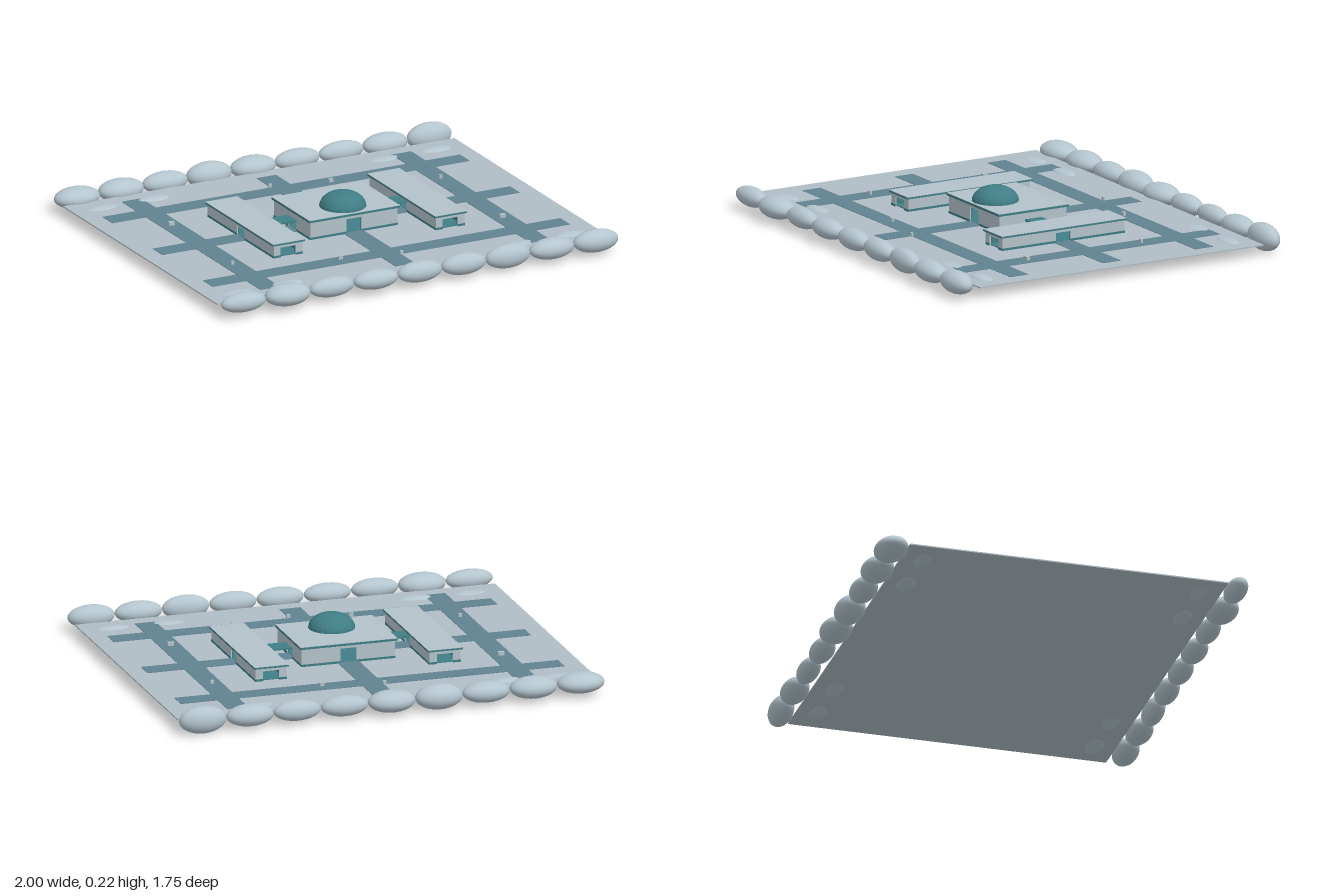
import * as THREE from 'three';

const mat = (name, color, opts = {}) => Object.assign(new THREE.MeshStandardMaterial({ color, ...opts }), { name });

export function createModel() {
  const root = new THREE.Group();
  root.name = 'gardenCompound';
  const lawn = mat('pale lawn', 0xafbdc4);
  const stone = mat('pale stone', 0xb2c2c9);
  const leaf = mat('pale leaf', 0xb4c5ce);
  const paving = mat('slate paving', 0x618291);
  const teal = mat('teal', 0x3f7d85);
  const tealFacet = mat('teal dome', 0x3f7d85, { flatShading: true });

  const GROUND = 0.056;
  const add = (parent, name, geo, material, x = 0, y = 0, z = 0) => {
    const m = new THREE.Mesh(geo, material);
    m.name = name;
    m.position.set(x, y, z);
    parent.add(m);
    return m;
  };
  const box = (parent, name, w, h, d, material, x, y, z) =>
    add(parent, name, new THREE.BoxGeometry(w, h, d), material, x, y + h / 2, z);

  // Ground slab and crossing paths
  box(root, 'ground', 1.975, 0.006, 1.48, lawn, -0.002, GROUND - 0.006, -0.004);
  for (const x of [-0.683, -0.002, 0.68]) {
    box(root, 'longPath', 0.098, 0.002, 1.335, paving, x, GROUND, -0.004);
  }
  for (const z of [-0.485, -0.003, 0.48]) {
    box(root, 'crossPath', 1.805, 0.0016, 0.094, paving, 0, GROUND, z);
  }

  // Wall with a doorway cut from its lower edge, facing +z
  const wallGeometry = (w, h, doorHalf, doorH, thick) => {
    const s = new THREE.Shape();
    const pts = [[-w / 2, 0], [-doorHalf, 0], [-doorHalf, doorH], [doorHalf, doorH],
      [doorHalf, 0], [w / 2, 0], [w / 2, h], [-w / 2, h]];
    s.setFromPoints(pts.map(p => new THREE.Vector2(...p)));
    return new THREE.ExtrudeGeometry(s, { depth: thick, bevelEnabled: false });
  };

  // Hollow building: four walls lined in teal, base band, floor and roof
  function building(name, x, w, d, h, endDoor, sideDoor, roofH) {
    const g = new THREE.Group();
    g.name = name;
    g.position.set(x, GROUND, -0.003);
    root.add(g);
    for (let i = 0; i < 4; i++) {
      const side = new THREE.Group();
      side.name = 'wallSide';
      side.rotation.y = i * Math.PI / 2;
      g.add(side);
      const len = i % 2 ? d : w;
      const out = (i % 2 ? w : d) / 2;
      const door = i % 2 ? sideDoor : endDoor;
      add(side, 'wall', wallGeometry(len, h, 0.038, door, 0.006), stone, 0, 0, out - 0.006);
      add(side, 'wallLining', wallGeometry(len - 0.012, h, 0.038, door, 0.004), teal, 0, 0, out - 0.01);
      const bandLen = len / 2 - 0.038;
      for (const s of [-1, 1]) {
        box(side, 'baseBand', bandLen, 0.01, 0.004, teal, s * (0.038 + bandLen / 2), 0, out);
      }
    }
    box(g, 'floor', w - 0.02, 0.003, d - 0.02, teal, 0, 0, 0);
    box(g, 'roofEdge', w + 0.016, roofH, d + 0.016, teal, 0, h, 0);
    box(g, 'roofTop', w + 0.016, 0.002, d + 0.016, stone, 0, h + roofH, 0);
    return g;
  }

  building('mainHall', -0.002, 0.44, 0.348, 0.082, 0.068, 0.045, 0.01);
  for (const s of [-1, 1]) {
    building('sideWing', s * 0.409, 0.146, 0.636, 0.059, 0.045, 0.045, 0.008);
    box(root, 'linkCanopy', 0.112, 0.007, 0.088, teal, s * 0.278, 0.101, -0.002);
  }

  // Faceted dome
  const dome = add(root, 'dome',
    new THREE.SphereGeometry(0.106, 24, 8, 0, Math.PI * 2, 0, Math.PI / 2), tealFacet, -0.001, 0.149, 0.062);
  dome.scale.y = 0.66;

  // Ellipsoid shrubs
  const ball = new THREE.SphereGeometry(1, 32, 20);
  const shrub = (name, x, y, z, rx, ry, rz) =>
    add(root, name, ball, leaf, x, y, z).scale.set(rx, ry, rz);

  // Hedge rows: [height radius, depth radius] for each shrub, from -x to +x
  const rows = [
    { z: -0.804, y: 0.064, r: [[0.047, 0.075], [0.05, 0.072], [0.048, 0.06], [0.058, 0.067], [0.05, 0.072],
      [0.047, 0.054], [0.047, 0.048], [0.05, 0.061], [0.063, 0.054]] },
    { z: 0.8, y: 0.068, r: [[0.045, 0.049], [0.05, 0.072], [0.046, 0.05], [0.045, 0.056], [0.048, 0.052],
      [0.049, 0.051], [0.055, 0.047], [0.048, 0.058], [0.052, 0.057]] },
  ];
  for (const { z, y, r } of rows) {
    r.forEach(([ry, rz], i) => shrub('hedgeShrub', (i - 4) * 0.2223, y, z, 0.11, ry, rz));
  }

  // Low shrubs half sunk in the four corners
  for (const z of [-0.647, 0.64]) {
    for (const [x, ry] of [[-0.84, 0.009], [-0.583, 0.014], [0.58, 0.009], [0.84, 0.014]]) {
      shrub('cornerShrub', x, 0.053, z, 0.078, ry, 0.039);
    }
  }

  // Small markers along the paths
  const markers = [[-0.682, -0.29, 0.028], [-0.685, 0.305, 0.016], [0.677, -0.29, 0.016], [0.677, 0.305, 0.028],
    [-0.055, -0.535, 0.016], [0.22, -0.475, 0.02], [-0.225, 0.466, 0.02], [0.05, 0.53, 0.016]];
  for (const [x, z, w] of markers) {
    box(root, 'pathMarker', w, 0.018, w * 0.6, stone, x, GROUND, z);
  }

  return root;
}
